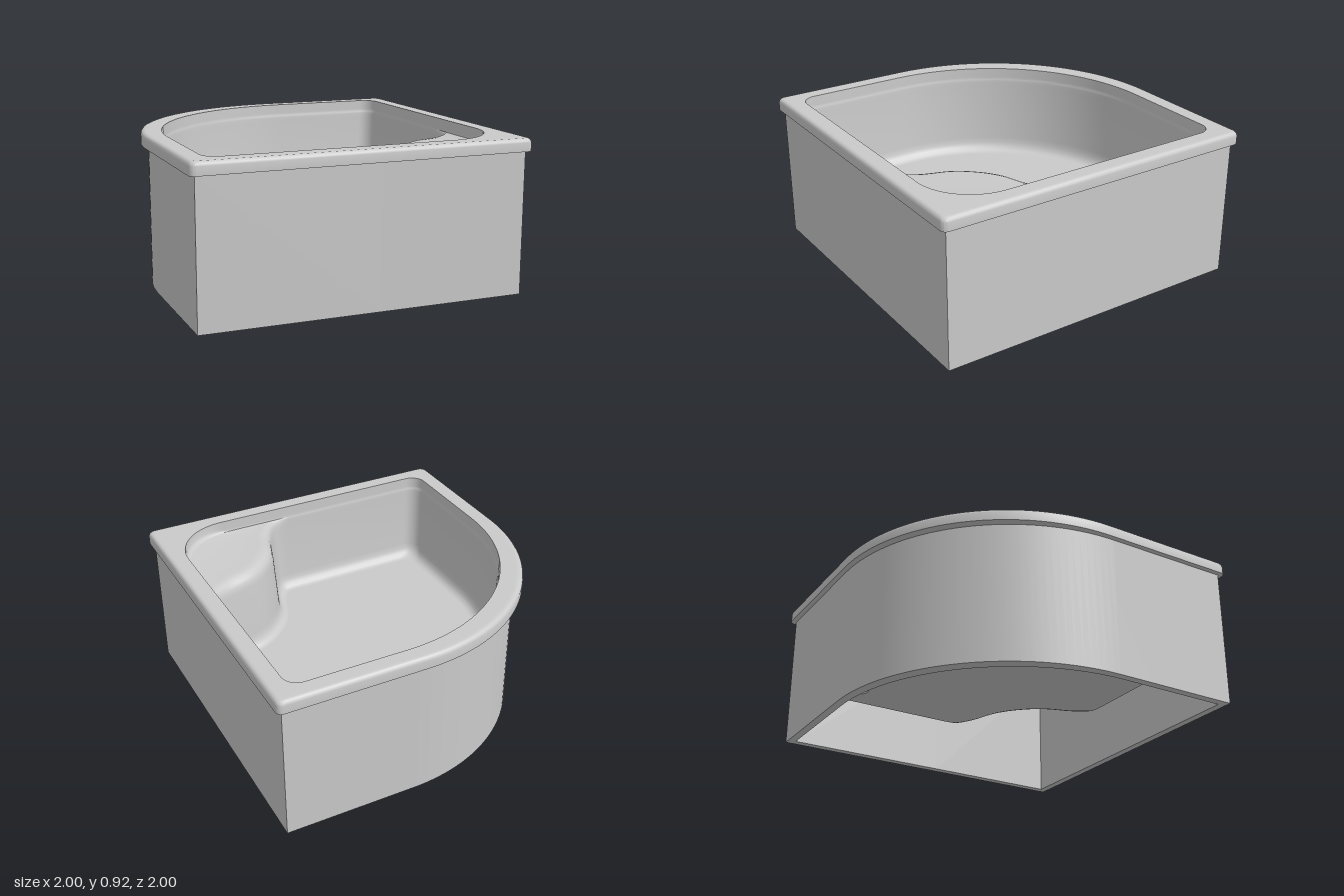
import * as THREE from 'three';
import { toCreasedNormals } from 'three/addons/utils/BufferGeometryUtils.js';

const SEAT_POINTS = 49;   // points along the seat corner of every outline
const FLOOR_Y = 0.34;
const UNDER_Y = 0.308;
const DRAIN = { x: 0.64, z: -0.64, r: 0.062 };

// Plan curve of the seat's front edge, as (x, z)
const seatEdge = new THREE.SplineCurve([
  [0.89, 0.08], [0.872, 0.2], [0.745, 0.295], [0.57, 0.36], [0.45, 0.45],
  [0.36, 0.57], [0.295, 0.745], [0.2, 0.872], [0.08, 0.89],
].map(([x, z]) => new THREE.Vector2(x, z)));
const seatPts = seatEdge.getSpacedPoints(SEAT_POINTS - 1);

// Quarter-round corner; a radius of 0 gives one sharp point
function cornerArc(cx, cz, r, a0, n) {
  if (r === 0) return [new THREE.Vector2(cx, cz)];
  const pts = [];
  for (let i = 0; i <= n; i++) {
    const a = a0 + (i / n) * Math.PI / 2;
    pts.push(new THREE.Vector2(cx + r * Math.cos(a), cz + r * Math.sin(a)));
  }
  return pts;
}

// Seat front edge moved toward the floor by s, matching the wall inset w at both ends
function seatCurve(s, w) {
  const last = SEAT_POINTS - 1;
  return seatPts.map((p, i) => {
    const a = seatPts[Math.max(i - 1, 0)], b = seatPts[Math.min(i + 1, last)];
    const t = b.clone().sub(a).normalize();
    if (i === 0) t.set(0, 1);
    if (i === last) t.set(-1, 0);
    const k = THREE.MathUtils.lerp(w, s, Math.min(1, 4 * Math.min(i, last - i) / last));
    return new THREE.Vector2(p.x - t.y * k, p.y + t.x * k);
  });
}

// Plan outline inset by d: big bowed corner centred on (c, c), two small corners
// and the seat corner. seatInset null keeps the seat corner on the rim with radius seatR.
function outline({ d, r, seatR = r, seatInset = null, c = 0.13 + 0.6 * Math.min(d, 0.11) }) {
  const e = 1 - d;
  const pts = cornerArc(c, c, e + c, Math.PI, 40);
  pts.push(...cornerArc(e - r, -e + r, r, -Math.PI / 2, 8));
  if (seatInset === null) {
    pts.push(new THREE.Vector2(e, 0.08));
    pts.push(...cornerArc(e - seatR, e - seatR, seatR, 0, SEAT_POINTS - 3));
    pts.push(new THREE.Vector2(0.08, e));
  } else {
    pts.push(...seatCurve(seatInset, d - 0.11));
  }
  pts.push(...cornerArc(-e + r, e - r, r, Math.PI / 2, 8));
  return pts;
}

// Skin over a stack of outlines
function loft(rings, flip = false) {
  const pos = [], idx = [];
  const loops = rings.map(outline), n = loops[0].length;
  loops.forEach((loop, k) => loop.forEach((p) => pos.push(p.x, rings[k].y, p.y)));
  for (let k = 0; k < loops.length - 1; k++) {
    for (let j = 0; j < n; j++) {
      const a = k * n + j, b = k * n + (j + 1) % n, c = a + n, e = b + n;
      if (flip) idx.push(a, b, c, b, e, c);
      else idx.push(a, c, b, b, c, e);
    }
  }
  const g = new THREE.BufferGeometry();
  g.setAttribute('position', new THREE.Float32BufferAttribute(pos, 3));
  g.setIndex(idx);
  return toCreasedNormals(g, 0.7);
}

const toShape = (pts) => new THREE.Shape(pts.map((p) => new THREE.Vector2(p.x, -p.y)));

// Flat floor with the drain opening
function floorGeometry(ring, y, holeR) {
  const shape = toShape(outline(ring));
  shape.holes.push(new THREE.Path().absarc(DRAIN.x, -DRAIN.z, holeR, 0, Math.PI * 2, true));
  return new THREE.ShapeGeometry(shape, 24).rotateX(-Math.PI / 2).translate(0, y, 0);
}

export function createModel() {
  const group = new THREE.Group();
  const enamel = new THREE.MeshStandardMaterial({ color: 0xcacaca, side: THREE.DoubleSide });
  enamel.name = 'grey enamel';
  const add = (name, geometry) => {
    const mesh = new THREE.Mesh(geometry, enamel);
    mesh.name = name;
    group.add(mesh);
  };

  // Rim with a rounded outer edge
  add('rim', loft([
    { d: 0, y: 0.84, r: 0.035 },
    { d: 0, y: 0.89, r: 0.035 },
    { d: 0.003, y: 0.902, r: 0.035 },
    { d: 0.01, y: 0.911, r: 0.035 },
    { d: 0.022, y: 0.915, r: 0.035 },
    { d: 0.035, y: 0.915, r: 0.035 },
    { d: 0.11, y: 0.915, r: 0.09, seatR: 0.34 },
  ]));

  // Basin wall, with the seat step, the seat and its rolled front edge
  const basin = [
    { d: 0.11, y: 0.915, r: 0.09, seatR: 0.34 },
    { d: 0.1115, y: 0.87, r: 0.09, seatR: 0.345 },
    { d: 0.112, y: 0.855, r: 0.09, seatR: 0.36 },
    { d: 0.1125, y: 0.845, r: 0.09, seatR: 0.385 },
    { d: 0.113, y: 0.841, r: 0.09, seatR: 0.42 },
    { d: 0.1135, y: 0.84, r: 0.09, seatInset: -0.07 },
    { d: 0.114, y: 0.837, r: 0.09, seatInset: -0.04 },
    { d: 0.115, y: 0.828, r: 0.09, seatInset: -0.016 },
    { d: 0.116, y: 0.812, r: 0.09, seatInset: 0.003 },
    { d: 0.117, y: 0.79, r: 0.09, seatInset: 0.015 },
    { d: 0.119, y: 0.755, r: 0.09, seatInset: 0.022 },
    { d: 0.14, y: 0.43, r: 0.09, seatInset: 0.045 },
    { d: 0.145, y: 0.395, r: 0.09, seatInset: 0.05 },
    { d: 0.156, y: 0.368, r: 0.09, seatInset: 0.06 },
    { d: 0.172, y: 0.35, r: 0.09, seatInset: 0.075 },
    { d: 0.193, y: 0.341, r: 0.09, seatInset: 0.092 },
    { d: 0.207, y: FLOOR_Y, r: 0.09, seatInset: 0.104 },
  ];
  add('basinWall', loft(basin));
  add('basinFloor', floorGeometry(basin[basin.length - 1], FLOOR_Y, DRAIN.r + 0.025));

  // Underside of the shell
  const under = [
    { d: 0, y: 0.84, r: 0.035 },
    { d: 0.082, y: 0.84, r: 0.09, seatR: 0.34 },
    { d: 0.084, y: 0.808, r: 0.09, seatR: 0.36 },
    { d: 0.085, y: 0.805, r: 0.09, seatInset: -0.05 },
    { d: 0.09, y: 0.75, r: 0.09, seatInset: -0.006 },
    { d: 0.112, y: 0.42, r: 0.09, seatInset: 0.015 },
    { d: 0.12, y: 0.37, r: 0.09, seatInset: 0.023 },
    { d: 0.137, y: 0.335, r: 0.09, seatInset: 0.04 },
    { d: 0.162, y: 0.315, r: 0.09, seatInset: 0.063 },
    { d: 0.192, y: UNDER_Y, r: 0.09, seatInset: 0.088 },
  ];
  add('shellUnderside', loft(under, true));
  add('floorUnderside', floorGeometry(under[under.length - 1], UNDER_Y, DRAIN.r));

  // Drain opening with a soft lip
  const drain = new THREE.LatheGeometry([
    [DRAIN.r, UNDER_Y], [DRAIN.r, 0.323], [DRAIN.r + 0.004, 0.332],
    [DRAIN.r + 0.012, 0.338], [DRAIN.r + 0.025, FLOOR_Y],
  ].map(([x, y]) => new THREE.Vector2(x, y)), 48);
  add('drain', drain.translate(DRAIN.x, 0, DRAIN.z));

  // Skirt: hollow apron standing on the ground, thicker along the bow
  const skirt = toShape(outline({ d: 0.032, r: 0, c: 0.18 }));
  skirt.holes.push(toShape(outline({ d: 0.08, r: 0, c: 0.24 })));
  const apron = new THREE.ExtrudeGeometry(skirt, { depth: 0.84, bevelEnabled: false });
  add('skirt', toCreasedNormals(apron.rotateX(-Math.PI / 2), 0.5));

  return group;
}
